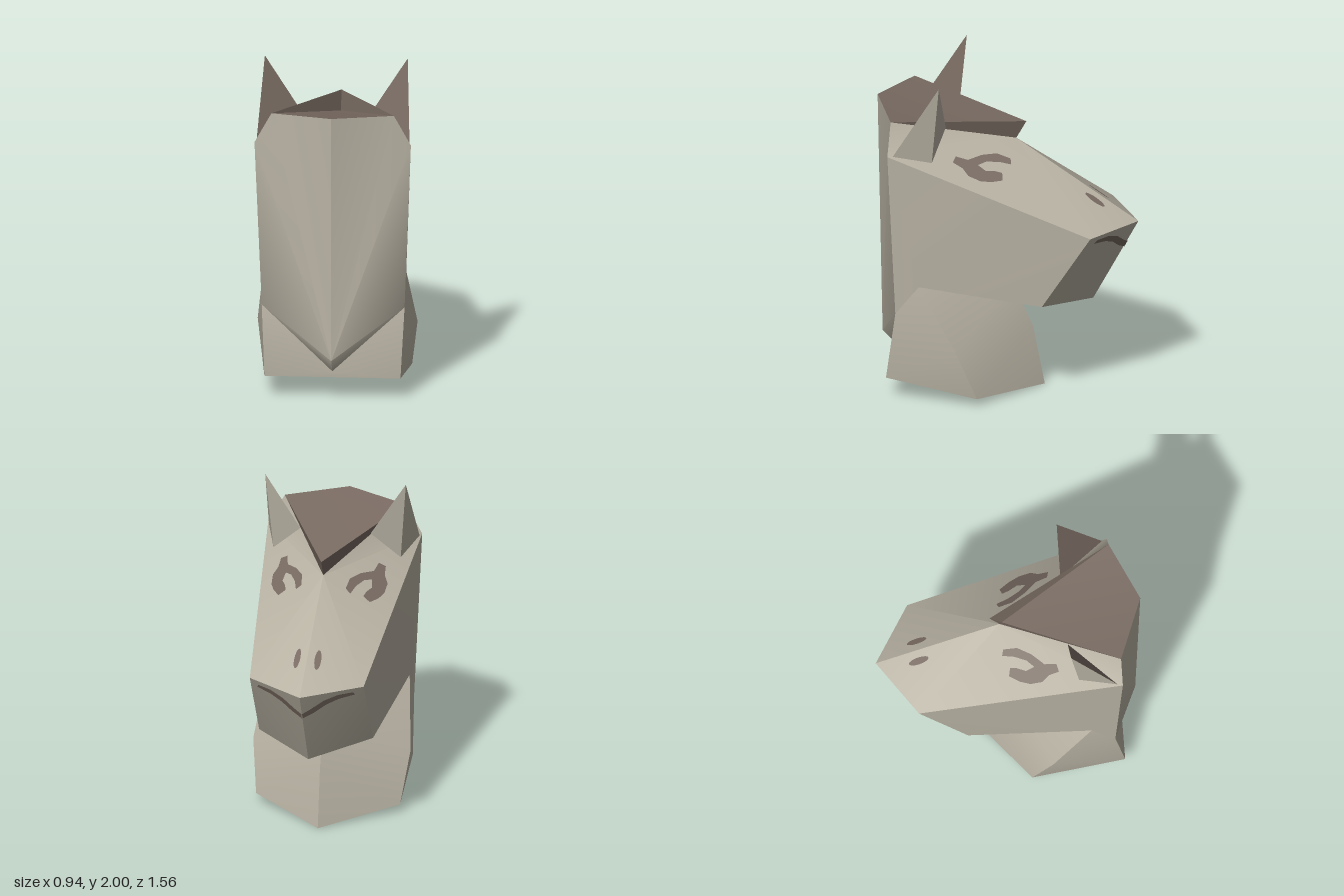
import * as THREE from 'three';
import { toCreasedNormals } from 'three/addons/utils/BufferGeometryUtils.js';

const coat = new THREE.MeshStandardMaterial({ color: 0xb9b3a4, side: THREE.DoubleSide });
coat.name = 'coat beige';
const brown = new THREE.MeshStandardMaterial({ color: 0x786a61, side: THREE.DoubleSide });
brown.name = 'marking brown';

// Key points of the left half (+x); the other half is mirrored
const P = {
  crown: [0, 1.76, 0.78], maneTop: [0.36, 1.74, 0.63], poll: [0.46, 1.56, 0.63],
  maneLow: [0, 0.26, 0.75], maneSide: [0.42, 0.55, 0.59], maneTip: [0, 0.17, 0.66],
  brow: [0, 1.55, -0.05], lockTip: [0, 1.66, -0.11], lockBack: [0, 1.715, 0.62],
  muzzle: [0.34, 1.085, -0.56], nose: [0, 1.08, -0.78], chin: [0, 0.57, -0.51],
  jaw: [0.34, 0.63, -0.27], cheek: [0.42, 0.73, 0.45],
  throat: [0, 0.65, -0.02], neckFront: [0, 0.36, -0.15], neckSide: [0.47, 0.35, 0.22],
  rimFront: [0, 0, -0.22], rimSide: [0.43, 0.05, 0.1], rimBack: [0.4, 0.13, 0.65],
  rimBackR: [-0.4, 0.13, 0.65],
  earTip: [0.42, 2, 0.33], earRear: [0.45, 1.56, 0.6],
  earInner: [0.21, 1.67, 0.33], earOuter: [0.38, 1.51, 0.38],
};
const vec = (name) => new THREE.Vector3(...P[name]);

// Faces given as point names, turned outward from a centre, then mirrored
function shell(name, faces, centre, material, crease = 0.7, centreFaces = []) {
  const out = [];
  const c = new THREE.Vector3(...centre);
  const add = (face, mirror) => {
    let [a, b, d] = face.split(' ').map(vec);
    const n = b.clone().sub(a).cross(d.clone().sub(a));
    const mid = a.clone().add(b).add(d).divideScalar(3);
    if (n.dot(mid.sub(c)) < 0) [b, d] = [d, b];
    out.push(a, b, d);
    if (mirror) for (const v of [a, d, b]) out.push(new THREE.Vector3(-v.x, v.y, v.z));
  };
  faces.forEach((f) => add(f, true));
  centreFaces.forEach((f) => add(f, false));
  const g = new THREE.BufferGeometry().setFromPoints(out);
  g.computeVertexNormals();
  const mesh = new THREE.Mesh(toCreasedNormals(g, crease), material);
  mesh.name = name;
  return mesh;
}

// Flat painted patch: a 2D outline dropped along one axis onto a face
function patch(name, outline, face, axis, side) {
  const [a, b, d] = face.split(' ').map(vec);
  const plane = new THREE.Plane().setFromCoplanarPoints(a, b, d);
  if (plane.normal[axis] * (axis === 'z' ? -1 : 1) < 0) plane.negate();
  const n = plane.normal;
  const g = new THREE.ShapeGeometry(new THREE.Shape(outline.map(([u, v]) => new THREE.Vector2(u, v))));
  const pos = g.attributes.position;
  for (let i = 0; i < pos.count; i++) {
    const u = pos.getX(i), v = pos.getY(i);
    const p = axis === 'y'
      ? new THREE.Vector3(u, -(n.x * u + n.z * v + plane.constant) / n.y, v)
      : new THREE.Vector3(u, v, -(n.x * u + n.y * v + plane.constant) / n.z);
    p.addScaledVector(n, 0.005);
    pos.setXYZ(i, side * p.x, p.y, p.z);
  }
  // keep the front of the patch facing outward
  const ix = g.index.array;
  g.computeVertexNormals();
  if (g.attributes.normal.getY(0) * n.y + g.attributes.normal.getZ(0) * n.z < 0) {
    for (let i = 0; i < ix.length; i += 3) [ix[i], ix[i + 1]] = [ix[i + 1], ix[i]];
    g.computeVertexNormals();
  }
  const mesh = new THREE.Mesh(g, brown);
  mesh.name = name;
  return mesh;
}

export function createModel() {
  const model = new THREE.Group();
  model.name = 'horseHead';

  // Head with muzzle and underside of the jaw
  model.add(shell('head', [
    'maneTop poll brow', 'poll brow muzzle', 'brow muzzle nose',
    'nose muzzle chin', 'muzzle jaw chin', 'poll muzzle cheek',
    'muzzle jaw cheek', 'poll cheek maneSide', 'chin jaw throat', 'jaw cheek throat',
  ], [0, 1.1, 0.1], coat, 0.55));

  // Neck, open at the bottom
  model.add(shell('neck', [
    'cheek throat neckSide', 'throat neckFront neckSide', 'neckFront rimFront rimSide',
    'neckFront rimSide neckSide', 'neckSide rimSide rimBack', 'neckSide rimBack maneSide',
    'cheek neckSide maneSide', 'maneSide rimBack maneTip',
  ], [0, 0.4, 0.25], coat, 0.9, ['maneTip rimBack rimBackR']));

  // Mane down the back
  model.add(shell('mane', [
    'crown maneTop maneLow', 'maneTop poll maneLow', 'poll maneSide maneLow',
    'maneSide maneTip maneLow',
  ], [0, 1, 0.3], coat, 0.7));

  // Forelock: sunken top with raised sides meeting in a point
  model.add(shell('forelock', [
    'maneTop lockBack brow', 'crown maneTop lockBack', 'maneTop lockTip brow',
  ], [0, 1.3, 0.4], brown, 0.3));

  // Ears
  const earCentre = [0.38, 1.66, 0.41];
  model.add(shell('ears', ['earTip earRear earOuter', 'earTip earOuter earInner'], earCentre, coat, 0.3));
  model.add(shell('innerEars', ['earTip earRear earInner'], earCentre, brown, 0.3));

  // Painted eyes, nostrils and mouth
  const eye = [
    [0.13, -0.04], [0.14, 0.04], [0.19, 0.12], [0.255, 0.19], [0.27, 0.26], [0.31, 0.27],
    [0.315, 0.21], [0.34, 0.17], [0.335, 0.1], [0.31, 0.04], [0.27, -0.02], [0.23, -0.01],
    [0.24, 0.03], [0.265, 0.08], [0.255, 0.13], [0.215, 0.09], [0.18, 0.02], [0.16, -0.05],
  ];
  const nostril = [];
  for (let i = 0; i < 16; i++) {
    const t = (i / 16) * Math.PI * 2;
    nostril.push([0.06 + 0.019 * Math.cos(t), -0.53 + 0.058 * Math.sin(t)]);
  }
  const mouth = [
    [0, 0.915], [0.06, 0.945], [0.13, 0.995], [0.2, 1.025], [0.29, 1.04],
    [0.28, 1.06], [0.2, 1.058], [0.12, 1.03], [0.05, 0.98], [0, 0.95],
  ];
  for (const [side, label] of [[1, 'left'], [-1, 'right']]) {
    model.add(patch(label + 'Eye', eye, 'poll brow muzzle', 'y', side));
    model.add(patch(label + 'Nostril', nostril, 'brow muzzle nose', 'y', side));
    model.add(patch(label + 'Mouth', mouth, 'nose muzzle chin', 'z', side));
  }
  return model;
}
